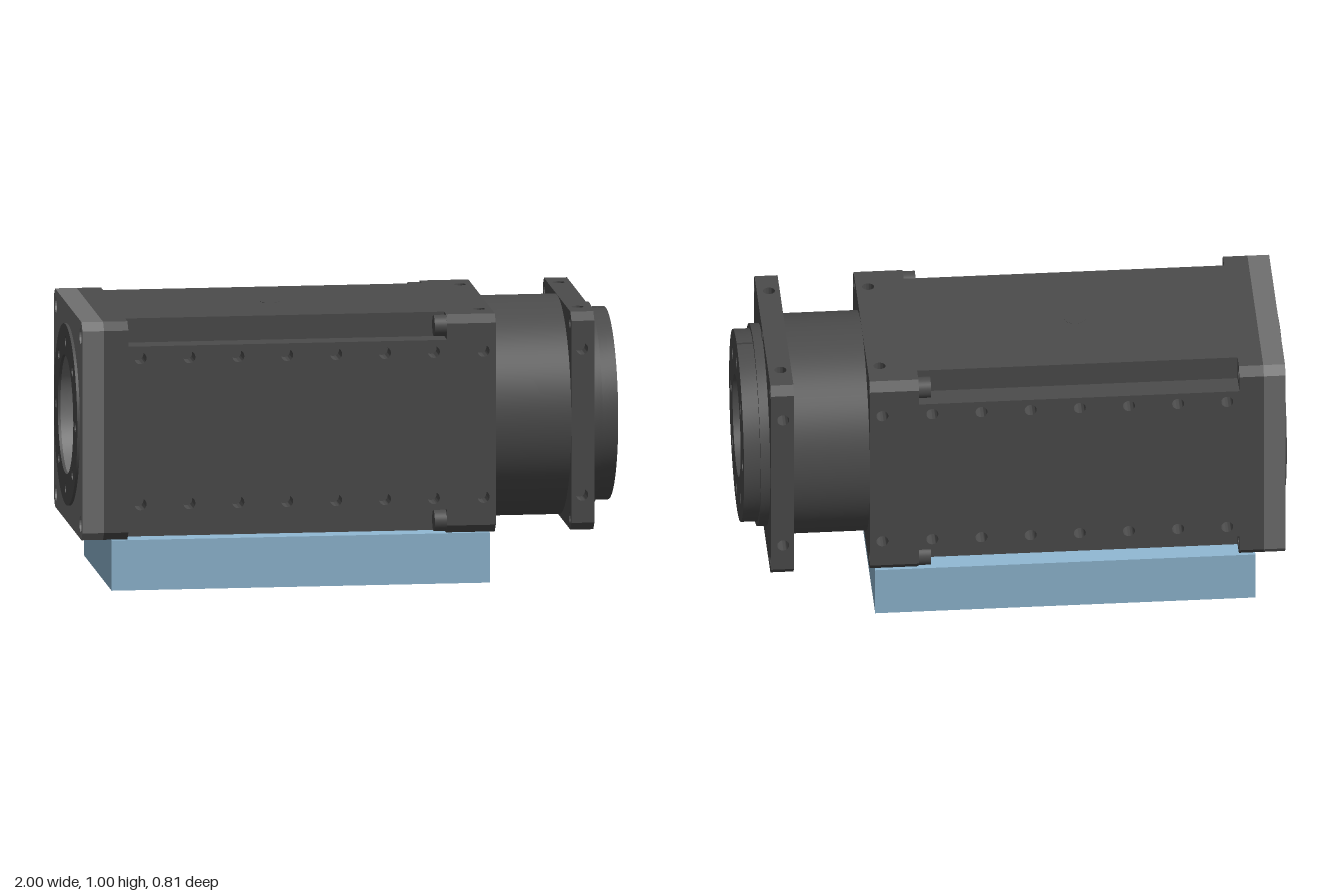
import * as THREE from 'three';
import { toCreasedNormals } from 'three/addons/utils/BufferGeometryUtils.js';

const DARK = new THREE.MeshStandardMaterial({ color: 0x4c4c4c });
const GREY = new THREE.MeshStandardMaterial({ color: 0x707070 });
const BLUE = new THREE.MeshStandardMaterial({ color: 0x91b9d4 });

const H = 0.406;      // half width of the square housing
const IN = 0.316;     // half width inside the corner notches
const BOLT = 0.363;   // corner bolt position
const AXIS_Y = 0.594; // height of the motor axis
const SIGNS = [-1, 1];

const polygon = (pts) => new THREE.Shape(pts.map(([x, y]) => new THREE.Vector2(x, y)));
const rect = (x0, x1, y0, y1) => polygon([[x0, y0], [x1, y0], [x1, y1], [x0, y1]]);

function drill(shape, x, y, r) {
  shape.holes.push(new THREE.Path().absarc(x, y, r, 0, Math.PI * 2, true));
  return shape;
}

function disc(r) {
  return new THREE.Shape().absarc(0, 0, r, 0, Math.PI * 2, false);
}

function boltCircle(shape, r, holeR) {
  for (let i = 0; i < 8; i++) drill(shape, r * Math.cos(i * Math.PI / 4), r * Math.sin(i * Math.PI / 4), holeR);
  return shape;
}

function extrude(shape, depth) {
  const g = new THREE.ExtrudeGeometry(shape, { depth, bevelEnabled: false, curveSegments: 36 });
  return toCreasedNormals(g, 0.5);
}

function add(parent, name, geometry, material = DARK) {
  const mesh = new THREE.Mesh(geometry, material);
  mesh.name = name;
  parent.add(mesh);
  return mesh;
}

// Extrusion running along the motor axis from x0 to x1
function axial(parent, name, shape, x0, x1, material) {
  return add(parent, name, extrude(shape, x1 - x0).rotateY(Math.PI / 2).translate(x0, 0, 0), material);
}

function rod(parent, name, r, x0, x1, y = 0, z = 0, material = DARK) {
  const g = new THREE.CylinderGeometry(r, r, x1 - x0, r > 0.2 ? 96 : 32).rotateZ(-Math.PI / 2);
  return add(parent, name, g.translate((x0 + x1) / 2, y, z), material);
}

// Square block: solid core, four drilled side panels, and corner pieces over the given x ranges
function block(parent, name, x0, x1, holesFor, cornerRanges) {
  const group = new THREE.Group();
  group.name = name;
  parent.add(group);
  add(group, 'core', new THREE.BoxGeometry(x1 - x0, IN * 2, IN * 2).translate((x0 + x1) / 2, 0, 0));
  for (let k = 0; k < 4; k++) {
    const panel = rect(x0, x1, -IN, IN);
    for (const x of holesFor(k)) for (const s of SIGNS) drill(panel, x, s * 0.272, 0.022);
    add(group, 'sidePanel', extrude(panel, H - IN).translate(0, 0, IN).rotateX(k * Math.PI / 2));
    for (const [a, b] of cornerRanges) {
      const corner = polygon([[IN, IN], [H, IN], [H, H - 0.03], [H - 0.03, H], [IN, H]]);
      drill(corner, BOLT, BOLT, 0.02);
      axial(group, 'corner', corner, a, b).rotation.x = k * Math.PI / 2;
    }
  }
}

export function createModel() {
  const model = new THREE.Group();
  const unit = new THREE.Group();
  unit.name = 'actuator';
  unit.position.y = AXIS_Y;
  model.add(unit);

  // Main housing with long notched corners; mounting rows on front and back only
  const row = Array.from({ length: 7 }, (_, i) => -0.775 + i * 0.181);
  block(unit, 'housing', -0.91, 0.54, (k) => (k % 2 ? [0.495] : [...row, 0.495]),
    [[-0.91, -0.82], [0.36, 0.54]]);
  for (const y of SIGNS) for (const z of SIGNS) {
    rod(unit, 'bolt', 0.039, 0.315, 0.362, y * BOLT, z * BOLT);
  }
  add(unit, 'topPlug', new THREE.CylinderGeometry(0.04, 0.04, 0.01, 32).translate(-0.245, H - 0.004, 0));

  // Rear end plate with bore and raised ring
  const c = H - 0.03;
  const plate = polygon([[H, -c], [H, c], [c, H], [-c, H], [-H, c], [-H, -c], [-c, -H], [c, -H]]);
  for (const y of SIGNS) for (const z of SIGNS) drill(plate, z * 0.35, y * 0.35, 0.03);
  axial(unit, 'endPlate', boltCircle(drill(plate, 0, 0, 0.22), 0.273, 0.02), -0.99, -0.91, GREY);
  const ring = boltCircle(drill(disc(0.335), 0, 0, 0.22), 0.273, 0.02);
  axial(unit, 'endRing', ring, -1, -0.99);

  // Round gear section and square mounting flange
  rod(unit, 'gearSection', 0.405, 0.54, 0.82);
  block(unit, 'flange', 0.82, 0.905, () => [0.86], [[0.82, 0.905]]);
  rod(unit, 'locatingPin', 0.015, 0.88, 0.907, 0.381, 0);

  // Output disc: stepped rim, face split by a narrow slot through the top hole, recess with hub
  axial(unit, 'outputRim', drill(disc(0.373), 0, 0, 0.19), 0.905, 0.94);
  const up = Math.PI / 2, R = 0.355, r = 0.19, hole = 0.023, w = 0.005;
  const a = Math.asin(w / R), b = Math.asin(w / r), d = Math.asin(w / hole);
  const face = new THREE.Shape();
  face.absarc(0, 0, R, up + a, up - a + Math.PI * 2, false);
  face.absarc(0, 0.273, hole, up - d, -up + d, true);
  face.absarc(0, 0, r, up - b, up + b - Math.PI * 2, true);
  face.absarc(0, 0.273, hole, -up - d, -Math.PI * 1.5 + d, true);
  for (let i = 1; i < 8; i++) {
    const t = up + i * Math.PI / 4;
    drill(face, 0.273 * Math.cos(t), 0.273 * Math.sin(t), hole);
  }
  axial(unit, 'outputFace', face, 0.94, 1);
  rod(unit, 'hub', 0.048, 0.9, 0.97);

  // Base block with corner holes and a small diamond bolt pattern
  const base = rect(-0.88, 0.52, -0.39, 0.39);
  for (const x of [-0.82, 0.45]) for (const s of SIGNS) drill(base, x, s * 0.265, 0.034);
  for (const s of SIGNS) {
    drill(base, -0.175 + s * 0.277, 0, 0.023);
    drill(base, -0.175, s * 0.277, 0.023);
  }
  add(model, 'base', extrude(base, 0.187).rotateX(-Math.PI / 2), BLUE);

  return model;
}
